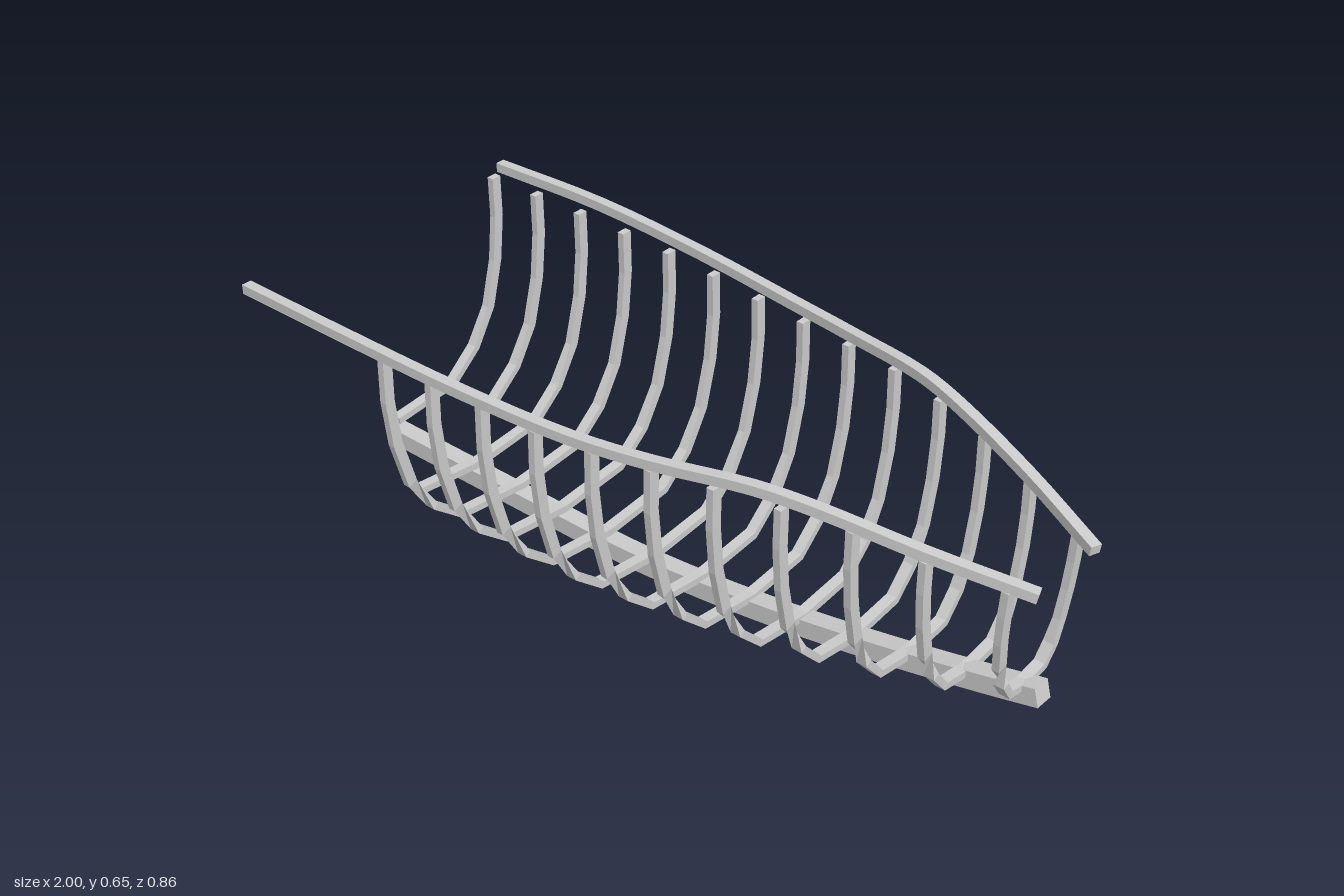
import * as THREE from 'three';

const grey = new THREE.MeshStandardMaterial({ color: 0xcccccc, flatShading: true });
const V = (x, y, z) => new THREE.Vector3(x, y, z);

// Squared timber swept along points; width lies along side(tangent), turned by twist[i]
function timber(name, points, width, height, side, twist = []) {
  const pos = [], index = [], last = points.length - 1;
  points.forEach((p, i) => {
    const t = points[Math.min(i + 1, last)].clone().sub(points[Math.max(i - 1, 0)]).normalize();
    const u = side(t).normalize();
    const v = t.clone().cross(u).normalize();
    const a = twist[i] || 0;
    [[1, 1], [-1, 1], [-1, -1], [1, -1]].forEach(([sx, sy]) => {
      const x = sx * width / 2, y = sy * height / 2;
      const q = p.clone()
        .addScaledVector(u, x * Math.cos(a) - y * Math.sin(a))
        .addScaledVector(v, x * Math.sin(a) + y * Math.cos(a));
      pos.push(q.x, q.y, q.z);
    });
  });
  for (let i = 0; i < last; i++) {
    for (let k = 0; k < 4; k++) {
      const a = i * 4 + k, b = i * 4 + (k + 1) % 4;
      index.push(a, b, b + 4, a, b + 4, a + 4);
    }
  }
  const e = last * 4;
  index.push(0, 2, 1, 0, 3, 2, e, e + 1, e + 2, e, e + 2, e + 3);
  let geo = new THREE.BufferGeometry();
  geo.setAttribute('position', new THREE.Float32BufferAttribute(pos, 3));
  geo.setIndex(index);
  geo = geo.toNonIndexed();
  geo.computeVertexNormals();
  const mesh = new THREE.Mesh(geo, grey);
  mesh.name = name;
  return mesh;
}

// Height of the keel's centre line, rising towards the bow
const keelY = x => 0.024 + 0.2 * Math.pow(Math.max(0, (x + 0.25) / 1.22), 1.6);
const across = t => t.clone().cross(V(0, 1, 0));

// Half rib shape: [share of half beam, share of height]
const RIB = [[0, 0], [0.51, 0.037], [0.73, 0.167], [0.885, 0.343], [0.972, 0.574], [1.005, 0.796], [1, 1]];
const HALF_BEAM = [0.388, 0.391, 0.393, 0.393, 0.39, 0.382, 0.37, 0.353, 0.331, 0.305, 0.27, 0.227, 0.182, 0.123];
const TOP = [0.603, 0.603, 0.602, 0.6, 0.6, 0.596, 0.592, 0.595, 0.603, 0.611, 0.609, 0.6, 0.573, 0.543];
// Damaged ribs: first and last shape index kept, negative on the -z side
const KEPT = { 0: [-6, 0], 1: [-6, -1], 2: [-6, 1] };

function rib(n) {
  const x = -0.99 + n * 0.1473;
  const base = keelY(x) + THREE.MathUtils.mapLinear(THREE.MathUtils.clamp(x, -0.25, 0.6), -0.25, 0.6, 0.036, 0.013);
  const lean = n === 13 ? 0.02 : 0;
  const [from, to] = KEPT[n] || [-6, 6];
  const points = [], twist = [];
  for (let i = from; i <= to; i++) {
    const [w, h] = RIB[Math.abs(i)];
    points.push(V(x + lean * (h - 0.5), base + h * (TOP[n] - base), Math.sign(i) * w * HALF_BEAM[n]));
    // Quarter turn of the timber at the bilge
    twist.push(Math.abs(i) > 2 ? Math.PI / 2 : 0);
  }
  return timber('rib' + (n + 1), points, 0.027, 0.018, () => V(1, 0, 0), twist);
}

// Top rail on one side
function rail(name, s) {
  const curve = new THREE.CatmullRomCurve3([
    [-0.99, 0.624, 0.412], [-0.65, 0.63, 0.417], [-0.3, 0.622, 0.402], [0, 0.616, 0.371],
    [0.2, 0.623, 0.336], [0.42, 0.637, 0.285], [0.55, 0.626, 0.249], [0.77, 0.586, 0.182], [0.99, 0.543, 0.1],
  ].map(([x, y, z]) => V(x, y, s * z)));
  return timber(name, curve.getPoints(32), 0.026, 0.024, across);
}

export function createModel() {
  const ship = new THREE.Group();
  ship.name = 'shipFrame';

  // Keel
  const keel = [V(-0.99, keelY(-0.99), 0)];
  for (let i = 0; i <= 16; i++) {
    const x = -0.25 + i * 1.215 / 16;
    keel.push(V(x, keelY(x), 0));
  }
  ship.add(timber('keel', keel, 0.047, 0.046, across));

  // Ribs
  const ribs = new THREE.Group();
  ribs.name = 'ribs';
  for (let n = 0; n < 14; n++) ribs.add(rib(n));
  ship.add(ribs);

  // Rails
  ship.add(rail('railFront', 1), rail('railBack', -1));
  return ship;
}
